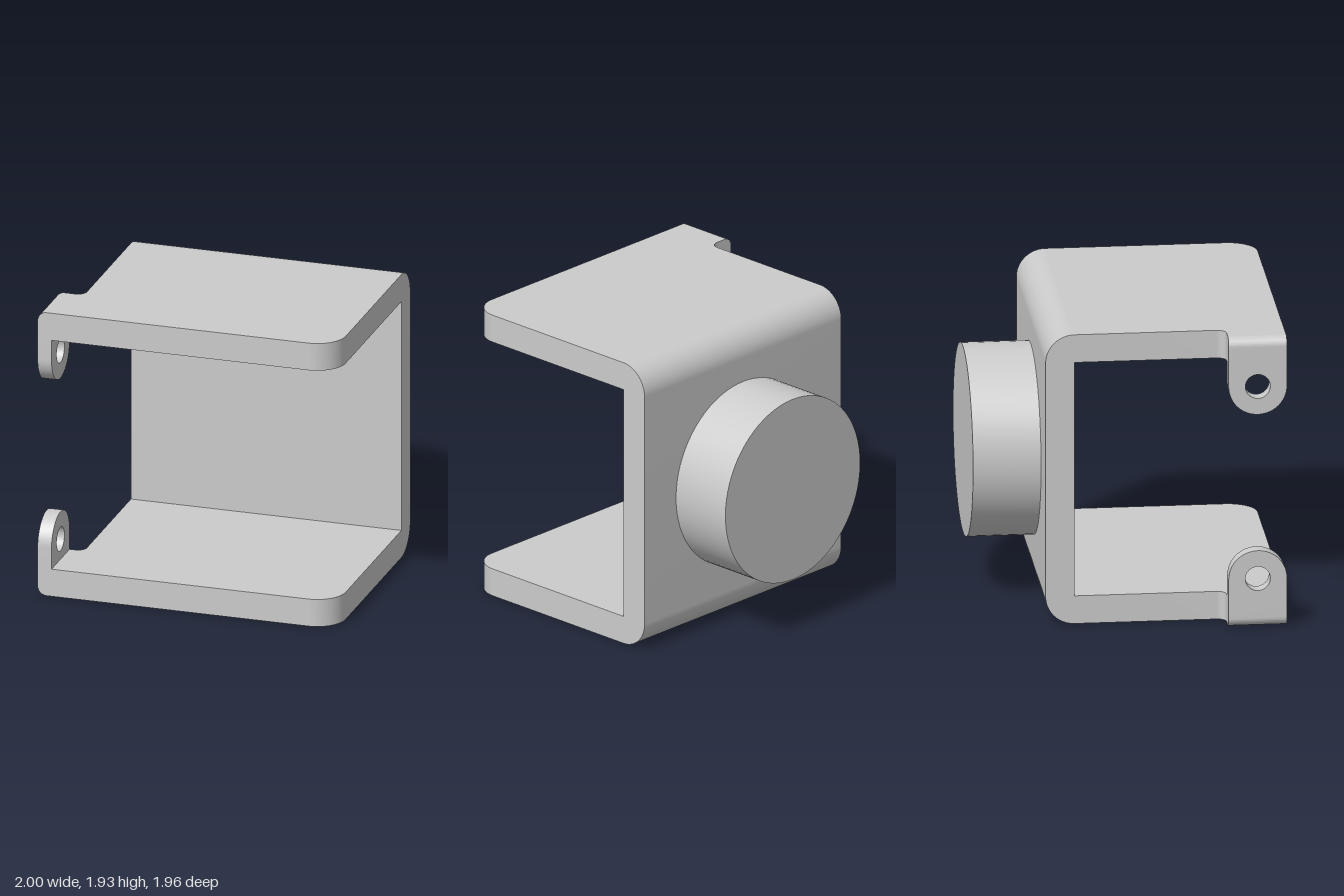
import * as THREE from 'three';
import { toCreasedNormals } from 'three/addons/utils/BufferGeometryUtils.js';

const H = 1.93, T = 0.185;           // overall height, plate thickness
const BACK = -0.545, FRONT = 0.98;   // z extent of the bracket
const LEFT = -0.81, TAB = -1, RIGHT = 1;
const LUG_BACK = 0.607, LUG_Z = (LUG_BACK + FRONT) / 2, LUG_R = (FRONT - LUG_BACK) / 2;
const EDGE = 0.06;                   // small edge radius

const material = new THREE.MeshStandardMaterial({ color: 0xcccccc });

function extrude(shape, depth) {
  return new THREE.ExtrudeGeometry(shape, { depth, bevelEnabled: false, curveSegments: 20 });
}

function part(name, geometry) {
  const mesh = new THREE.Mesh(toCreasedNormals(geometry, 0.5), material);
  mesh.name = name;
  return mesh;
}

// Shape drawn in (z, y), extruded along x between x0 and x1
function alongX(shape, x0, x1) {
  return extrude(shape, x1 - x0).rotateY(-Math.PI / 2).translate(x1, 0, 0);
}

// Shape drawn in (x, z), extruded along y between y0 and y1
function alongY(shape, y0, y1) {
  return extrude(shape, y1 - y0).rotateX(Math.PI / 2).translate(0, y1, 0);
}

// Copy of a shape, flipped about mid height for the top half
function flipped(shape, top) {
  if (!top) return shape;
  const flip = (p) => new THREE.Vector2(p.x, H - p.y);
  const { shape: outline, holes } = shape.extractPoints(20);
  const copy = new THREE.Shape(outline.map(flip));
  copy.holes = holes.map((h) => new THREE.Path(h.map(flip)));
  return copy;
}

// Back wall with rounded outer bends
function wallShape() {
  const s = new THREE.Shape();
  s.moveTo(BACK + T, 0);
  s.absarc(BACK + T, H - T, T, Math.PI / 2, Math.PI, false);
  s.absarc(BACK + T, T, T, Math.PI, Math.PI * 1.5, false);
  return s;
}

// Plate outline with a rounded front corner and a filleted side tab
function plateShape() {
  const s = new THREE.Shape();
  const r = 0.19;
  s.moveTo(LEFT, BACK + T);
  s.lineTo(RIGHT, BACK + T);
  s.absarc(RIGHT - r, FRONT - r, r, 0, Math.PI / 2, false);
  s.lineTo(TAB + EDGE, FRONT);
  s.lineTo(TAB + EDGE, LUG_BACK);
  s.absarc(LEFT - EDGE, LUG_BACK - EDGE, EDGE, Math.PI / 2, 0, true);
  return s;
}

// Outer edge of the tab, rounded where it bends into the lug
function tabEdgeShape() {
  const s = new THREE.Shape();
  s.moveTo(TAB + EDGE, T);
  s.lineTo(TAB, T);
  s.absarc(TAB + EDGE, EDGE, EDGE, Math.PI, Math.PI * 1.5, false);
  return s;
}

// Round-ended lug with a pin hole
function lugShape() {
  const s = new THREE.Shape();
  const cy = 0.323;
  s.moveTo(LUG_BACK, T);
  s.lineTo(FRONT, T);
  s.absarc(LUG_Z, cy, LUG_R, 0, Math.PI, false);
  const hole = new THREE.Path();
  hole.absarc(LUG_Z, cy, 0.08, 0, Math.PI * 2, true);
  s.holes.push(hole);
  return s;
}

export function createModel() {
  const group = new THREE.Group();
  group.name = 'bracket';

  group.add(part('backWall', alongX(wallShape(), LEFT, RIGHT)));

  for (const top of [false, true]) {
    const half = new THREE.Group();
    half.name = top ? 'topArm' : 'bottomArm';
    const y0 = top ? H - T : 0;
    half.add(
      part('plate', alongY(plateShape(), y0, y0 + T)),
      part('tabEdge', extrude(flipped(tabEdgeShape(), top), FRONT - LUG_BACK).translate(0, 0, LUG_BACK)),
      part('lug', alongX(flipped(lugShape(), top), TAB, -0.907)),
    );
    group.add(half);
  }

  // Round boss on the back
  const length = BACK + 0.98;
  const boss = new THREE.CylinderGeometry(0.62, 0.62, length, 72).rotateX(Math.PI / 2);
  boss.translate(0.09, H / 2, BACK - length / 2);
  group.add(part('rearBoss', boss));

  return group;
}
